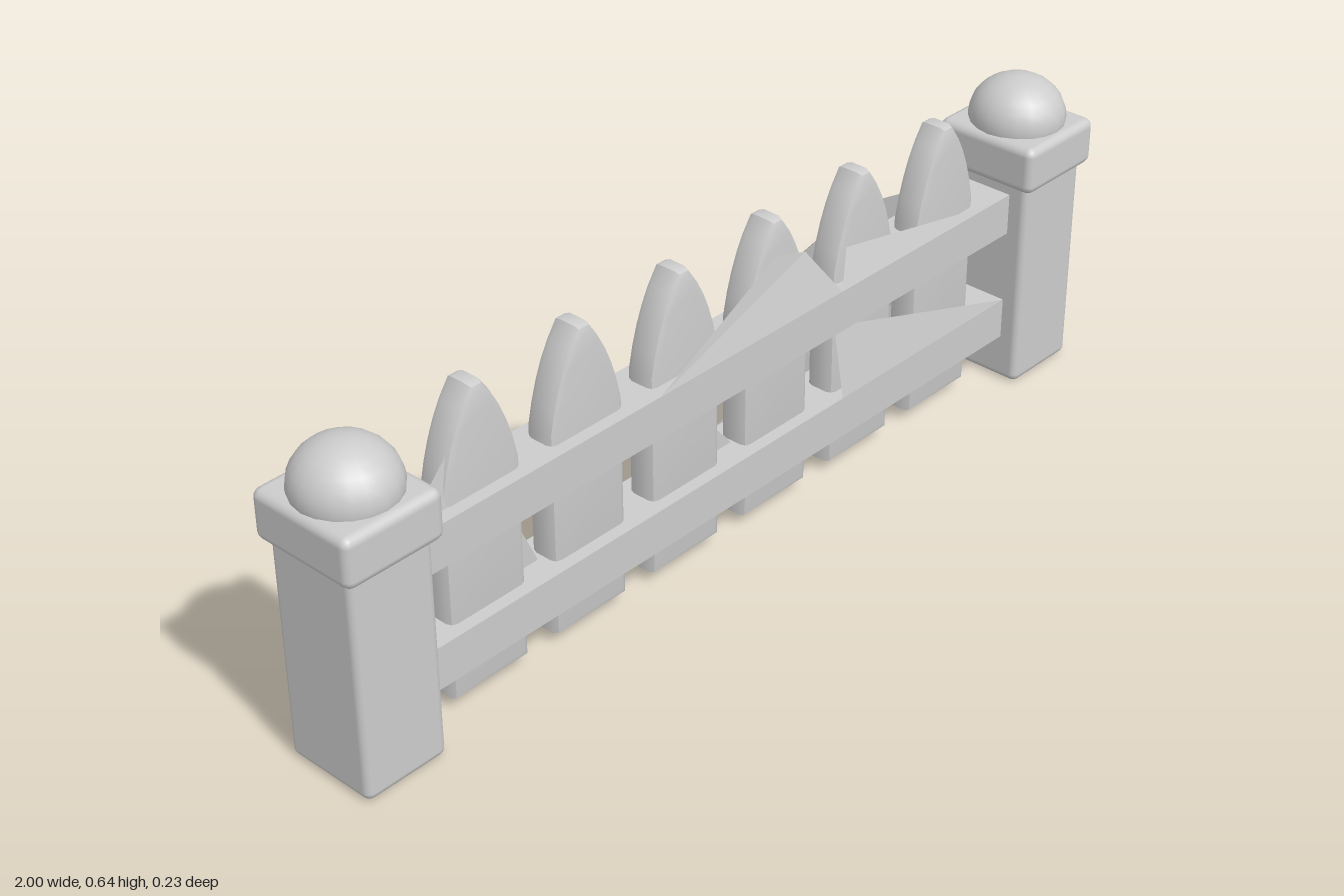
import * as THREE from 'three';
import { toCreasedNormals } from 'three/addons/utils/BufferGeometryUtils.js';
import { RoundedBoxGeometry } from 'three/addons/geometries/RoundedBoxGeometry.js';

export function createModel() {
  const group = new THREE.Group();
  const stone = new THREE.MeshStandardMaterial({ color: 0xcccccc, side: THREE.DoubleSide });

  const add = (name, geometry, x = 0, y = 0, z = 0, parent = group) => {
    const mesh = new THREE.Mesh(geometry, stone);
    mesh.name = name;
    mesh.position.set(x, y, z);
    parent.add(mesh);
    return mesh;
  };

  // End posts: shaft, cap block and domed finial
  for (const side of [-1, 1]) {
    const post = new THREE.Group();
    post.name = side > 0 ? 'leftPost' : 'rightPost';
    post.position.x = side * 0.892;
    group.add(post);
    add('shaft', new RoundedBoxGeometry(0.18, 0.48, 0.2, 2, 0.016), 0, 0.24, 0, post);
    add('cap', new RoundedBoxGeometry(0.212, 0.1, 0.234, 2, 0.018), 0, 0.5, 0, post);
    add('finial', new THREE.SphereGeometry(0.1, 20, 14), 0, 0.56, 0, post).scale.set(0.97, 0.85, 1);
  }

  // Two horizontal rails
  add('lowerRail', new THREE.BoxGeometry(1.62, 0.088, 0.116), 0, 0.143, 0);
  add('upperRail', new THREE.BoxGeometry(1.62, 0.088, 0.116), 0, 0.386, 0);

  // Pickets with curved, pointed tops
  const bevel = 0.014;
  const outline = new THREE.Shape();
  outline.moveTo(-0.076, 0.039);
  outline.lineTo(0.076, 0.039);
  outline.lineTo(0.076, 0.45);
  outline.quadraticCurveTo(0.055, 0.56, 0.006, 0.622);
  outline.lineTo(-0.006, 0.622);
  outline.quadraticCurveTo(-0.055, 0.56, -0.076, 0.45);
  outline.closePath();
  const picketGeometry = toCreasedNormals(new THREE.ExtrudeGeometry(outline, {
    depth: 0.036, bevelEnabled: true, bevelSize: bevel, bevelThickness: bevel,
    bevelSegments: 2, curveSegments: 5,
  }).translate(0, 0, -0.018), 0.6);
  for (let i = 0; i < 6; i++) {
    add('picket', picketGeometry, (i - 2.5) * 0.251, 0, 0);
  }

  // Thin angular webs between rails and pickets, each a fan of [x, y, z] corners
  const web = (name, corners) => {
    const geometry = new THREE.BufferGeometry();
    geometry.setAttribute('position', new THREE.Float32BufferAttribute(corners.flat(), 3));
    const index = [];
    for (let i = 1; i < corners.length - 1; i++) index.push(0, i, i + 1);
    geometry.setIndex(index);
    const flat = geometry.toNonIndexed();
    flat.computeVertexNormals();
    add(name, flat);
  };
  web('frontUpperWeb', [[-0.22, 0.43, 0.058], [0.28, 0.43, 0.058], [0.2, 0.54, 0.032], [0.12, 0.565, 0.032]]);
  web('frontSideWeb', [[0.28, 0.43, 0.058], [0.8, 0.42, 0.058], [0.32, 0.5, 0.032]]);
  web('frontLowerWeb', [[0.29, 0.187, 0.058], [0.8, 0.187, 0.058], [0.29, 0.34, 0.032]]);
  web('backUpperWeb', [[0.15, 0.43, -0.058], [0.34, 0.5, -0.034], [0.44, 0.52, -0.034], [0.8, 0.43, -0.058]]);
  web('backLowerWeb', [[0.05, 0.187, -0.058], [0.28, 0.29, -0.036], [0.8, 0.187, -0.058]]);
  web('rightEndWeb', [[-0.8, 0.43, 0.03], [-0.66, 0.43, 0.03], [-0.69, 0.53, 0.02]]);
  web('rightGapWeb', [[-0.55, 0.34, 0], [-0.55, 0.187, 0], [-0.48, 0.187, 0]]);
  web('middleGapWeb', [[-0.04, 0.187, 0], [0.03, 0.187, 0], [-0.04, 0.27, 0]]);

  return group;
}
